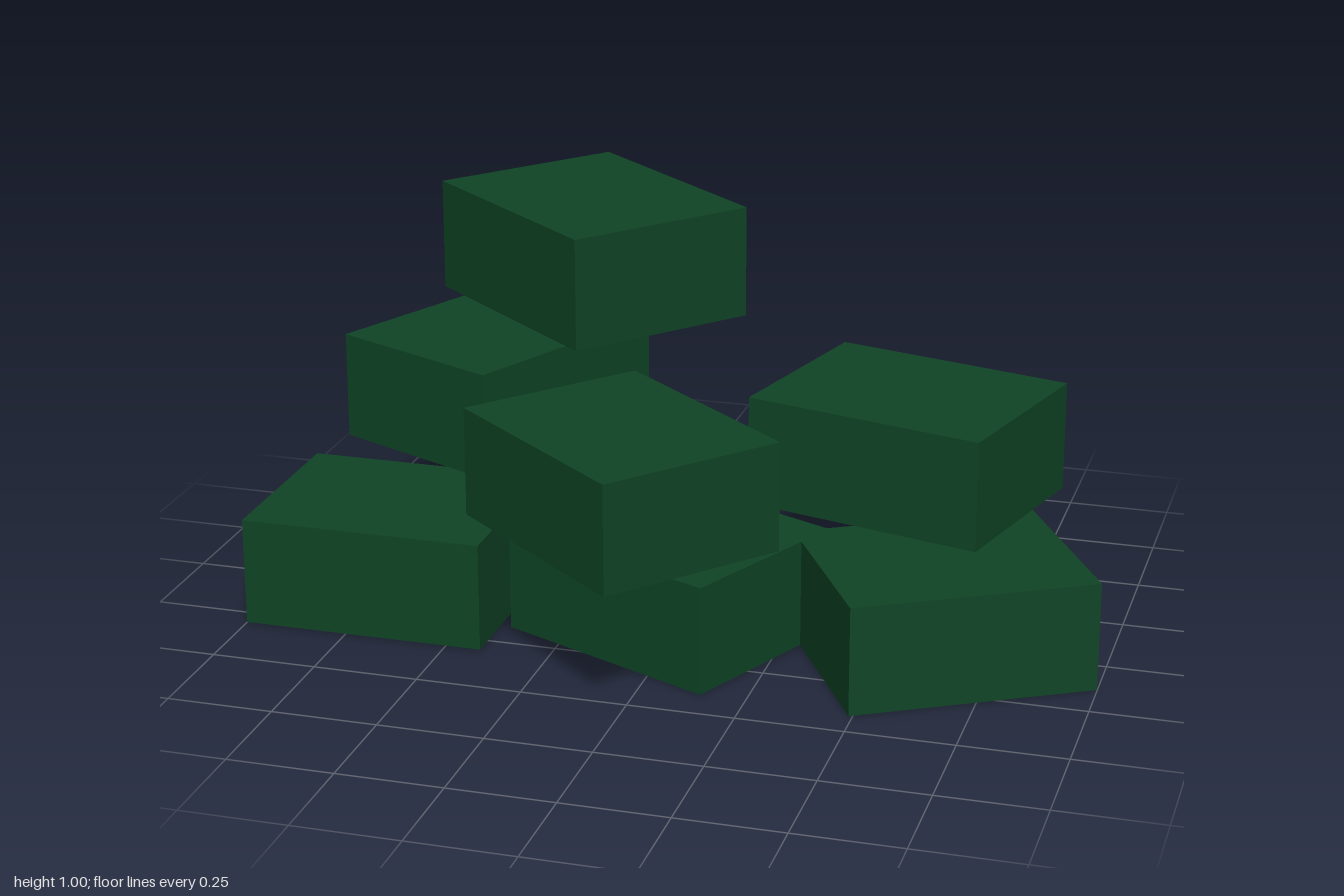
import * as THREE from 'three';

// Loose pile of identical blocks in three layers
const SIZE = [0.585, 0.26, 0.465];
const LAYERS = { bottom: 0.13, middle: 0.456, top: 0.868 };

// name, layer, x, z, turn about y in degrees
const BLOCKS = [
  ['bottomRightBlock', 'bottom', -0.708, 0.072, 0],
  ['bottomCentreBlock', 'bottom', -0.026, 0.07, -24.5],
  ['bottomLeftBlock', 'bottom', 0.63, 0.074, 29.6],
  ['middleBackBlock', 'middle', -0.57, -0.307, 65],
  ['middleFrontBlock', 'middle', -0.076, 0.291, -40],
  ['middleLeftBlock', 'middle', 0.498, -0.115, -15],
  ['topBlock', 'top', -0.262, -0.11, -40],
];

export function createModel() {
  const model = new THREE.Group();
  model.name = 'blockPile';
  const material = new THREE.MeshStandardMaterial({ color: 0x0f4425 });
  const geometry = new THREE.BoxGeometry(...SIZE);

  for (const [name, layer, x, z, turn] of BLOCKS) {
    const block = new THREE.Mesh(geometry, material);
    block.name = name;
    block.position.set(x, LAYERS[layer], z);
    block.rotation.y = THREE.MathUtils.degToRad(turn);
    model.add(block);
  }
  return model;
}
